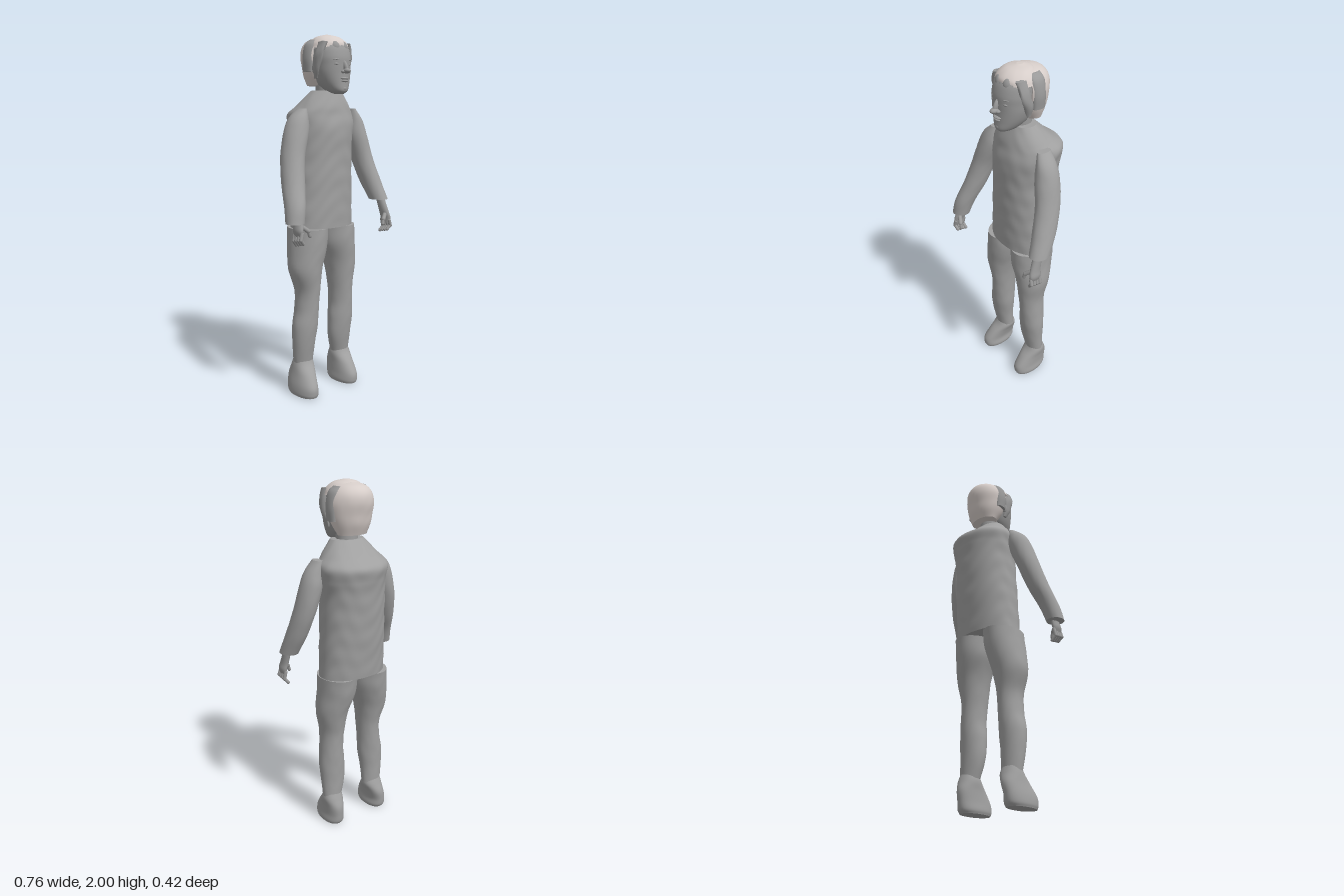
import * as THREE from 'three';

const cloth = new THREE.MeshStandardMaterial({ color: 0xa0a0a0 });
cloth.name = 'grey cloth';
const skin = new THREE.MeshStandardMaterial({ color: 0x999999 });
skin.name = 'grey skin';
const hairMat = new THREE.MeshStandardMaterial({ color: 0xd6cdc9 });
hairMat.name = 'pale hair';

// Smooth body through horizontal ellipses, listed upwards: [x, y, z, radiusX, radiusZ]
function loft(rings, { power = 1, wobble = 0, maxZ = Infinity, sides = 36, steps = 6 } = {}) {
  const path = new THREE.CatmullRomCurve3(rings.map(r => new THREE.Vector3(r[0], r[1], r[2])), false, 'catmullrom', 0.5);
  const size = new THREE.CatmullRomCurve3(rings.map(r => new THREE.Vector3(r[3], r[4], 0)), false, 'catmullrom', 0.5);
  const rows = (rings.length - 1) * steps;
  const pos = [], index = [];
  const soft = v => Math.sign(v) * Math.abs(v) ** power;
  const addRing = t => {
    const c = path.getPoint(t), s = size.getPoint(t);
    for (let j = 0; j < sides; j++) {
      const a = j / sides * Math.PI * 2;
      const k = 1 + wobble * Math.sin(c.y * 47 + 3 * Math.sin(a * 3)) * Math.sin(a * 5 + c.y * 13);
      pos.push(c.x + s.x * k * soft(Math.cos(a)), c.y, Math.min(maxZ, c.z + s.y * k * soft(Math.sin(a))));
    }
    return c;
  };
  for (let i = 0; i <= rows; i++) addRing(i / rows);
  for (let i = 0; i < rows; i++) for (let j = 0; j < sides; j++) {
    const a = i * sides + j, b = i * sides + (j + 1) % sides;
    index.push(a, a + sides, b, b, a + sides, b + sides);
  }
  // Flat end caps with their own corners, so the rims stay crisp
  for (const t of [0, 1]) {
    const start = pos.length / 3, c = addRing(t);
    pos.push(c.x, c.y, Math.min(maxZ, c.z));
    for (let j = 0; j < sides; j++) {
      const a = start + j, b = start + (j + 1) % sides;
      index.push(start + sides, t ? b : a, t ? a : b);
    }
  }
  const g = new THREE.BufferGeometry();
  g.setAttribute('position', new THREE.Float32BufferAttribute(pos, 3));
  g.setIndex(index);
  g.computeVertexNormals();
  return g;
}

function add(parent, name, geometry, material) {
  const m = new THREE.Mesh(geometry, material);
  m.name = name;
  parent.add(m);
  return m;
}

function blob(parent, name, material, [x, y, z], [sx, sy, sz]) {
  const m = add(parent, name, new THREE.SphereGeometry(1, 20, 14), material);
  m.position.set(x, y, z);
  m.scale.set(sx, sy, sz);
  return m;
}

// Rounded rod between two points
function rod(parent, name, from, to, radius) {
  const a = new THREE.Vector3(...from), b = new THREE.Vector3(...to);
  const m = add(parent, name, new THREE.CapsuleGeometry(radius, a.distanceTo(b), 5, 10), skin);
  m.position.copy(a).add(b).multiplyScalar(0.5);
  m.quaternion.setFromUnitVectors(new THREE.Vector3(0, 1, 0), b.sub(a).normalize());
}

function makeHand(side, shift) {
  const hand = new THREE.Group();
  hand.name = side > 0 ? 'leftHand' : 'rightHand';
  const X = x => side * x + shift;
  add(hand, 'palm', loft([
    [X(0.345), 0.95, 0.168, 0.014, 0.03], [X(0.348), 0.98, 0.168, 0.018, 0.036],
    [X(0.34), 1.02, 0.16, 0.02, 0.032], [X(0.332), 1.1, 0.135, 0.022, 0.026],
  ], { sides: 20 }), skin);
  for (let i = 0; i < 4; i++) {
    const z = 0.14 + i * 0.019, knuckle = [X(0.356), 0.925 + i * 0.003, z + 0.002];
    rod(hand, 'finger', [X(0.347), 0.965, z], knuckle, 0.01);
    rod(hand, 'fingertip', knuckle, [X(0.335), 0.9 + i * 0.004, z - 0.003], 0.009);
  }
  rod(hand, 'thumb', [X(0.33), 1.0, 0.178], [X(0.3), 0.975, 0.195], 0.012);
  rod(hand, 'thumbTip', [X(0.3), 0.975, 0.195], [X(0.292), 0.95, 0.197], 0.01);
  return hand;
}

function makeHead() {
  const head = new THREE.Group();
  head.name = 'head';
  const cx = 0.025;
  add(head, 'neck', loft([[cx, 1.66, 0, 0.06, 0.06], [cx, 1.78, 0.01, 0.06, 0.06]]), skin);
  add(head, 'face', loft([
    [cx, 1.683, 0.105, 0.022, 0.03], [cx, 1.7, 0.085, 0.052, 0.066], [cx, 1.74, 0.06, 0.08, 0.09],
    [cx, 1.79, 0.05, 0.097, 0.098], [cx, 1.835, 0.045, 0.103, 0.103], [cx, 1.88, 0.04, 0.107, 0.105],
    [cx, 1.935, 0.03, 0.1, 0.095], [cx, 1.98, 0.02, 0.06, 0.06],
  ], { power: 0.93 }), skin);
  // Features
  blob(head, 'chin', skin, [cx, 1.71, 0.127], [0.027, 0.021, 0.027]);
  blob(head, 'noseTip', skin, [cx, 1.802, 0.165], [0.018, 0.014, 0.024]);
  const bridge = blob(head, 'noseBridge', skin, [cx, 1.825, 0.153], [0.011, 0.036, 0.015]);
  bridge.rotation.x = -0.4;
  blob(head, 'upperLip', skin, [cx, 1.763, 0.145], [0.028, 0.007, 0.018]);
  blob(head, 'lowerLip', skin, [cx, 1.75, 0.142], [0.024, 0.008, 0.018]);
  for (const s of [-1, 1]) {
    blob(head, 'eye', skin, [cx + s * 0.042, 1.838, 0.129], [0.019, 0.009, 0.013]);
    const brow = blob(head, 'brow', skin, [cx + s * 0.044, 1.862, 0.127], [0.028, 0.007, 0.014]);
    brow.rotation.y = s * 0.35;
    blob(head, 'nostril', skin, [cx + s * 0.014, 1.798, 0.15], [0.011, 0.009, 0.014]);
    blob(head, 'ear', skin, [cx + s * 0.105, 1.82, 0.03], [0.014, 0.034, 0.022]);
    // Side locks framing the face
    add(head, 'sideLock', loft([
      [cx + s * 0.1, 1.765, 0.03, 0.006, 0.012], [cx + s * 0.108, 1.82, 0.042, 0.014, 0.024],
      [cx + s * 0.106, 1.89, 0.06, 0.016, 0.032], [cx + s * 0.085, 1.955, 0.07, 0.016, 0.03],
    ], { sides: 16, wobble: 0.15 }), skin);
    add(head, 'sidePanel', loft([
      [cx + s * 0.112, 1.8, -0.022, 0.018, 0.036], [cx + s * 0.112, 1.87, -0.02, 0.023, 0.04],
      [cx + s * 0.1, 1.94, -0.02, 0.02, 0.04], [cx + s * 0.07, 1.972, -0.02, 0.018, 0.035],
    ], { sides: 16 }), skin);
  }
  // Back shell ends in a straight edge behind the ears
  add(head, 'backHair', loft([
    [cx, 1.728, -0.045, 0.085, 0.055], [cx, 1.78, -0.035, 0.108, 0.087], [cx, 1.83, -0.025, 0.122, 0.108],
    [cx, 1.89, -0.02, 0.127, 0.126], [cx, 1.94, -0.02, 0.112, 0.12], [cx, 1.972, -0.02, 0.08, 0.09],
    [cx, 1.988, -0.02, 0.03, 0.035],
  ], { maxZ: 0.02, wobble: 0.008 }), hairMat);
  add(head, 'topHair', loft([
    [cx, 1.925, 0.025, 0.113, 0.101], [cx, 1.955, 0.022, 0.1, 0.095],
    [cx, 1.985, 0.012, 0.068, 0.068], [cx, 2.0, 0.005, 0.015, 0.018],
  ], { wobble: 0.02 }), hairMat);
  // Uneven fringe
  for (let i = 0; i < 7; i++) {
    const a = (i - 3) * 0.36;
    const lock = blob(head, 'fringeLock', skin,
      [cx + 0.098 * Math.sin(a), 1.935 - 0.012 * (i % 2), 0.025 + 0.092 * Math.cos(a)], [0.023, 0.026, 0.013]);
    lock.rotation.set(-0.35, a, (i % 3 - 1) * 0.3);
  }
  return head;
}

export function createModel() {
  const model = new THREE.Group();
  model.name = 'standingFigure';

  add(model, 'jacket', loft([
    [0.0125, 0.95, -0.02, 0.197, 0.132], [0.016, 1.2, -0.03, 0.188, 0.147], [0.02, 1.4, -0.036, 0.182, 0.156],
    [0.025, 1.5, -0.04, 0.189, 0.162], [0.028, 1.57, -0.05, 0.193, 0.157], [0.025, 1.62, -0.025, 0.16, 0.122],
    [0.025, 1.7, 0.005, 0.095, 0.066],
  ], { power: 0.92, wobble: 0.012, sides: 64, steps: 12 }), cloth);

  add(model, 'rightSleeve', loft([
    [-0.332, 1.015, 0.15, 0.05, 0.05], [-0.314, 1.1, 0.128, 0.054, 0.06], [-0.28, 1.22, 0.075, 0.06, 0.067],
    [-0.248, 1.35, 0.035, 0.063, 0.07], [-0.205, 1.48, 0.015, 0.069, 0.068], [-0.185, 1.55, 0.01, 0.054, 0.056],
    [-0.158, 1.603, 0.01, 0.022, 0.034],
  ], { wobble: 0.01 }), cloth);
  add(model, 'leftSleeve', loft([
    [0.33, 1.085, 0.125, 0.05, 0.06], [0.307, 1.2, 0.075, 0.056, 0.068], [0.28, 1.33, 0.033, 0.058, 0.07],
    [0.25, 1.46, 0.014, 0.06, 0.068], [0.235, 1.54, 0.01, 0.046, 0.056], [0.21, 1.605, 0.005, 0.022, 0.04],
  ], { wobble: 0.01 }), cloth);
  model.add(makeHand(1, 0), makeHand(-1, 0.02));

  // Trouser legs
  add(model, 'rightTrouserLeg', loft([
    [-0.14, 0.18, -0.012, 0.06, 0.048], [-0.143, 0.28, -0.003, 0.068, 0.058], [-0.138, 0.39, 0.003, 0.076, 0.068],
    [-0.127, 0.49, 0.004, 0.067, 0.073], [-0.122, 0.6, 0.005, 0.068, 0.08], [-0.13, 0.72, -0.002, 0.094, 0.1],
    [-0.107, 0.85, -0.012, 0.105, 0.122], [-0.098, 0.95, -0.018, 0.102, 0.13],
  ], { wobble: 0.01 }), cloth);
  add(model, 'leftTrouserLeg', loft([
    [0.147, 0.18, -0.012, 0.058, 0.048], [0.137, 0.28, -0.003, 0.073, 0.058], [0.138, 0.39, 0.003, 0.077, 0.068],
    [0.14, 0.49, 0.004, 0.069, 0.073], [0.135, 0.6, 0.005, 0.07, 0.08], [0.135, 0.73, -0.002, 0.09, 0.1],
    [0.112, 0.85, -0.012, 0.105, 0.122], [0.108, 0.95, -0.018, 0.106, 0.13],
  ], { wobble: 0.01 }), cloth);

  // Shoes
  for (const s of [-1, 1]) {
    const x = s > 0 ? 0.142 : -0.17, ankle = s > 0 ? 0.148 : -0.143;
    add(model, s > 0 ? 'leftShoe' : 'rightShoe', loft([
      [x, 0, 0.025, 0.055, 0.098], [x, 0.02, 0.022, 0.06, 0.108], [x, 0.06, 0.018, 0.056, 0.109],
      [(x + ankle) / 2, 0.115, 0, 0.056, 0.092], [ankle, 0.165, -0.012, 0.06, 0.062],
      [ankle, 0.205, -0.014, 0.05, 0.044],
    ], { power: 0.9 }), cloth);
  }

  model.add(makeHead());
  return model;
}
